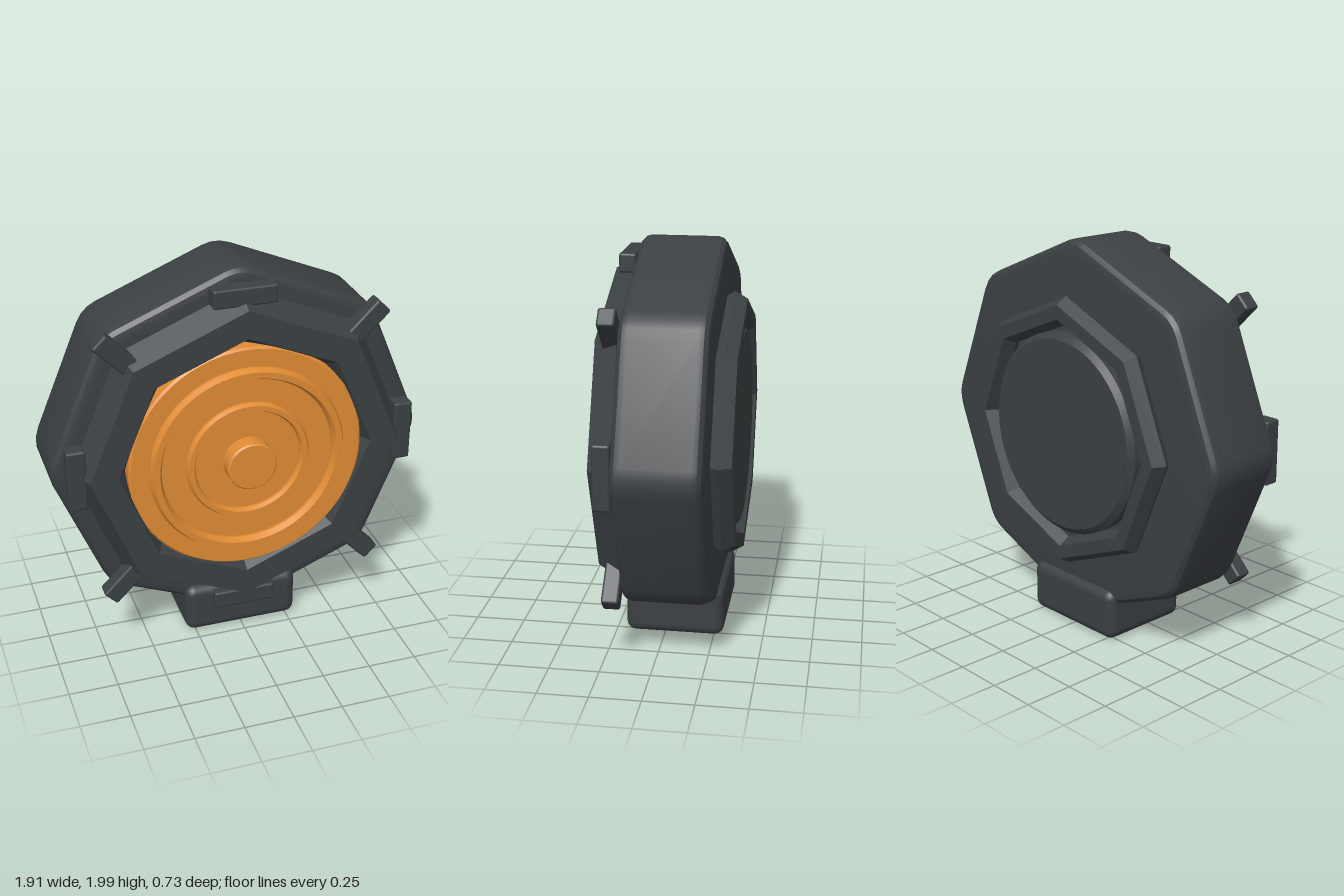
import * as THREE from 'three';
import { RoundedBoxGeometry } from 'three/addons/geometries/RoundedBoxGeometry.js';
import { toCreasedNormals } from 'three/addons/utils/BufferGeometryUtils.js';

const DARK = new THREE.MeshStandardMaterial({ color: 0x3b4043 });
const DARK_FLAT = new THREE.MeshStandardMaterial({ color: 0x3b4043, flatShading: true });
const ORANGE = new THREE.MeshStandardMaterial({ color: 0xe08c34 });
const CENTRE_Y = 1.04;

// Octagon with a corner at the top and softly rounded corners
function octagon(radius, cut) {
  const shape = new THREE.Shape();
  const corner = (i) => new THREE.Vector2(Math.cos(i * Math.PI / 4), Math.sin(i * Math.PI / 4)).multiplyScalar(radius);
  const side = 2 * radius * Math.sin(Math.PI / 8);
  for (let i = 0; i < 8; i++) {
    const c = corner(i);
    const a = c.clone().lerp(corner(i - 1), cut / side);
    const b = c.clone().lerp(corner(i + 1), cut / side);
    if (i === 0) shape.moveTo(a.x, a.y);
    else shape.lineTo(a.x, a.y);
    shape.quadraticCurveTo(c.x, c.y, b.x, b.y);
  }
  shape.closePath();
  return shape;
}

// Turned part around the z axis; profile is [radius, z], from rim to centre
function turned(profile, creaseAngle = 0.4) {
  const points = profile.map(([r, z]) => new THREE.Vector2(r, z));
  const geometry = new THREE.LatheGeometry(points, 64).rotateX(Math.PI / 2);
  return toCreasedNormals(geometry, creaseAngle);
}

export function createModel() {
  const model = new THREE.Group();
  const device = new THREE.Group();
  device.name = 'device';
  device.position.y = CENTRE_Y;
  model.add(device);

  const add = (parent, name, geometry, material) => {
    const mesh = new THREE.Mesh(geometry, material);
    mesh.name = name;
    parent.add(mesh);
    return mesh;
  };

  // Thick octagonal housing with rounded edges
  const housing = new THREE.ExtrudeGeometry(octagon(0.917, 0.06), {
    depth: 0.325, bevelEnabled: true, bevelSize: 0.05, bevelThickness: 0.05,
    bevelSegments: 3, curveSegments: 3,
  });
  housing.translate(0, 0, -0.22);
  add(device, 'housing', toCreasedNormals(housing, 0.5), DARK);

  // Eight-sided rims with a hexagonal section
  add(device, 'frontRim', new THREE.TorusGeometry(0.72, 0.14, 6, 8), DARK_FLAT).position.z = 0.16;
  add(device, 'backRim', new THREE.TorusGeometry(0.62, 0.07, 6, 8), DARK_FLAT).position.z = -0.31;

  // Front dial with two raised rings
  add(device, 'dial', turned([
    [0.6, 0.12], [0.6, 0.262], [0.59, 0.272],
    [0.5, 0.272], [0.5, 0.285], [0.487, 0.315], [0.455, 0.315], [0.44, 0.285], [0.44, 0.272],
    [0.315, 0.272], [0.315, 0.285], [0.305, 0.305], [0.28, 0.305], [0.27, 0.285], [0.27, 0.272],
    [0, 0.272],
  ]), ORANGE);

  // Centre button
  add(device, 'button', turned([
    [0.125, 0.26], [0.125, 0.35], [0.118, 0.357], [0, 0.357],
  ]), ORANGE);

  // Chamfered back cover
  const cover = turned([[0.51, 0.24], [0.51, 0.335], [0.48, 0.36], [0, 0.36]]);
  add(device, 'backCover', cover.rotateY(Math.PI), DARK);

  // Clamps: tangential on the axes, radial on the diagonals
  const clampGeometry = new RoundedBoxGeometry(0.32, 0.095, 0.085, 2, 0.012);
  for (let i = 0; i < 8; i++) {
    const angle = i * Math.PI / 4;
    const clamp = add(device, 'clamp', clampGeometry, DARK);
    clamp.position.set(0.843 * Math.cos(angle), 0.843 * Math.sin(angle), 0.198);
    clamp.rotation.z = i % 2 ? angle : angle + Math.PI / 2;
  }

  // Foot
  const foot = add(model, 'foot', new RoundedBoxGeometry(0.6, 0.265, 0.5, 3, 0.05), DARK);
  foot.position.set(0, 0.1325, -0.05);

  return model;
}
